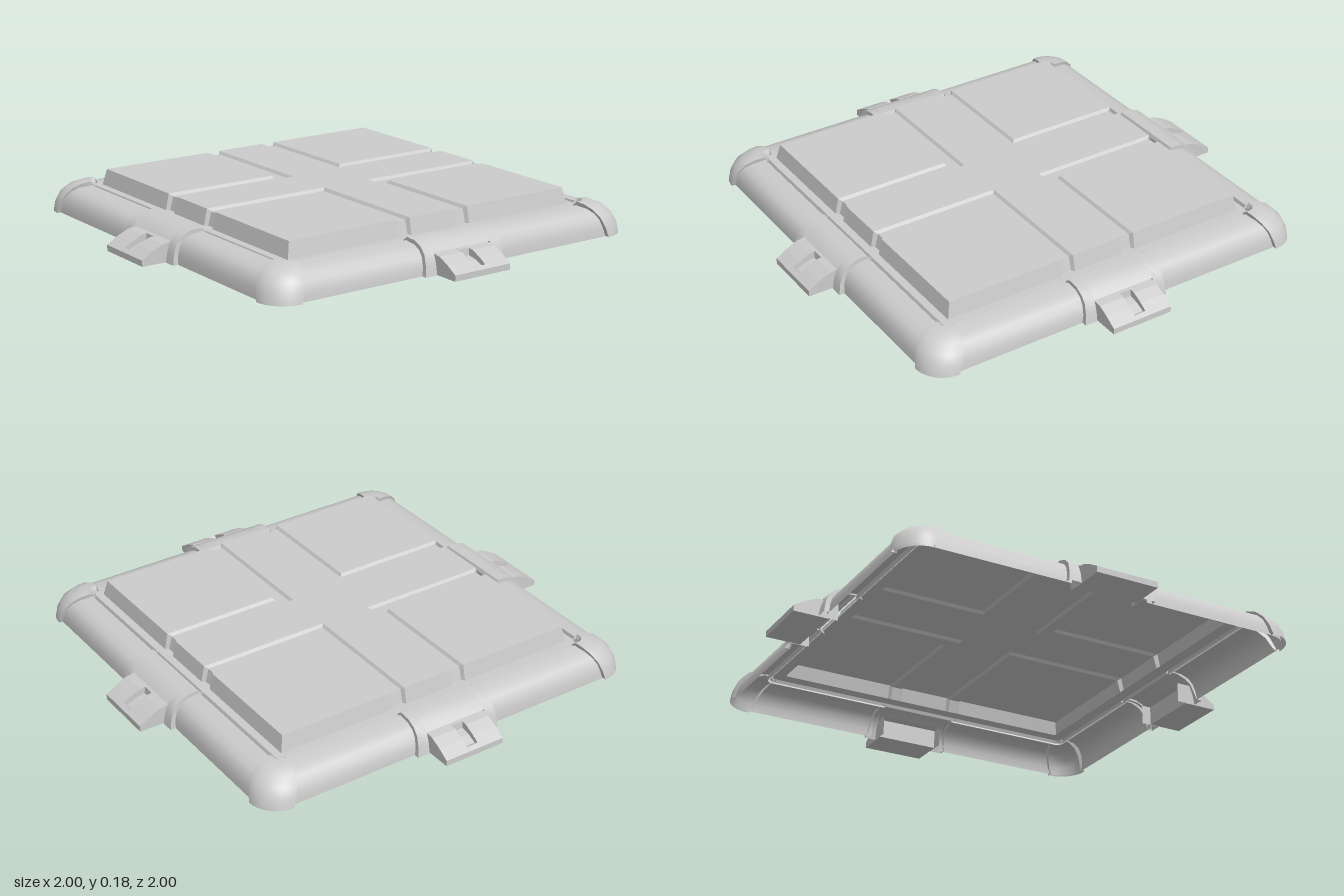
import * as THREE from 'three';
import { toCreasedNormals } from 'three/addons/utils/BufferGeometryUtils.js';

const material = new THREE.MeshStandardMaterial({ color: 0xcccccc, side: THREE.DoubleSide });

// Sheet through equally long rows of [x, y, z] points
function sheet(name, rows, crease = 0.6) {
  const n = rows[0].length, index = [];
  for (let i = 0; i < rows.length - 1; i++) {
    for (let j = 0; j < n - 1; j++) {
      const a = i * n + j;
      index.push(a, a + n, a + n + 1, a, a + n + 1, a + 1);
    }
  }
  const geo = new THREE.BufferGeometry();
  geo.setAttribute('position', new THREE.Float32BufferAttribute(rows.flat(2), 3));
  geo.setIndex(index);
  const mesh = new THREE.Mesh(toCreasedNormals(geo, crease), material);
  mesh.name = name;
  return mesh;
}

// One corner of a rounded square frame; profile points are
// [half width, height, corner radius, where the run along the side ends]
function cornerSweep(name, profile, walled = false) {
  const rows = profile.map(([w, y, r, e]) => {
    const row = [[w, y, e]];
    for (let k = 0; k <= 10; k++) {
      const t = (k / 10) * Math.PI / 2;
      row.push([w - r + r * Math.cos(t), y, w - r + r * Math.sin(t)]);
    }
    row.push([e, y, w]);
    if (walled) { // end walls dropping onto the rim
      const low = Math.max(0, y - 0.02);
      row.unshift([w - 0.025, low, e]);
      row.push([e, low, w - 0.025]);
    }
    return row;
  });
  return sheet(name, rows);
}

// Quarter of the raised panel: a cross and four tiles parted by shallow grooves
function panelQuarter() {
  const c = [0, 0.113, 0.122, 0.168, 0.177, 0.685, 0.7];
  const rows = c.map((_, i) => c.map((_, j) => {
    const groove = [2, 3].includes(Math.min(i, j));
    const skirt = Math.max(i, j) === 6;
    const limit = groove ? (skirt ? 0.685 : 0.67) : 0.7;
    const y = skirt ? 0.112 : groove ? 0.168 : 0.18;
    return [Math.min(c[j], limit), y, Math.min(c[i], limit)];
  }));
  return sheet('panelQuarter', rows, 0.1);
}

// Saddle over the middle of a side, with an opening for the clip
function saddle() {
  const group = new THREE.Group();
  group.name = 'saddle';
  const profile = [ // [z, y, half width]
    [0.895, 0, 0.195], [0.887, 0.045, 0.19], [0.872, 0.085, 0.186], [0.845, 0.11, 0.183],
    [0.805, 0.126, 0.181], [0.755, 0.128, 0.18], [0.748, 0.112, 0.18]];
  const open = 0.14;
  for (const s of [1, -1]) {
    const rows = profile.map(([z, y, w]) => {
      const row = [[s * w, Math.max(0, y - 0.02), z - 0.025], [s * w, y, z], [s * open, y, z]];
      return s > 0 ? row : row.reverse();
    });
    group.add(sheet('saddleLeg', rows));
  }
  group.add(sheet('saddleBridge', profile.slice(2).map(([z, y]) => [[open, y, z], [-open, y, z]])));
  const frame = [[open, 0, 0.895], [open, 0.085, 0.872], [-open, 0.085, 0.872], [-open, 0, 0.895]];
  group.add(sheet('openingFrame', [frame, frame.map(([x, y]) => [x, y, 0.81])]));
  return group;
}

// Slab of constant side outline [z, y] between two x positions
function slab(name, outline, x0, x1) {
  const shape = new THREE.Shape(outline.map(([z, y]) => new THREE.Vector2(z, y)));
  const geo = new THREE.ExtrudeGeometry(shape, { depth: x1 - x0, bevelEnabled: false });
  geo.rotateY(-Math.PI / 2).translate(x1, 0, 0);
  const mesh = new THREE.Mesh(geo, material);
  mesh.name = name;
  return mesh;
}

// Sloping clip with a slot along its middle
function clip() {
  const group = new THREE.Group();
  group.name = 'clip';
  const outer = [[0.85, 0], [1, 0], [1, 0.025], [0.95, 0.055], [0.905, 0.076], [0.85, 0.083]];
  const slot = [[0.85, 0], [1, 0], [1, 0.025], [0.982, 0.036], [0.965, 0.025],
    [0.925, 0.042], [0.885, 0.05], [0.882, 0.08], [0.85, 0.083]];
  group.add(slab('clipSide', outer, 0.026, 0.137));
  group.add(slab('clipSide', outer, -0.137, -0.026));
  group.add(slab('clipSlot', slot, -0.026, 0.026));
  return group;
}

export function createModel() {
  const model = new THREE.Group();
  model.name = 'panelTile';
  const rim = [
    [0.872, 0, 0.11, 0.17], [0.869, 0.035, 0.11, 0.17], [0.858, 0.07, 0.1, 0.17],
    [0.838, 0.094, 0.09, 0.17], [0.805, 0.109, 0.07, 0.17], [0.75, 0.114, 0.035, 0.17],
    [0.745, 0.095, 0.03, 0.17]];
  const cap = [
    [0.888, 0, 0.12, 0.765], [0.882, 0.04, 0.12, 0.752], [0.865, 0.08, 0.115, 0.738],
    [0.835, 0.11, 0.1, 0.722], [0.795, 0.127, 0.075, 0.71], [0.755, 0.13, 0.035, 0.706],
    [0.747, 0.113, 0.03, 0.706]];
  const deck = [[0.738, 0.098, 0.03, 0], [0.733, 0.112, 0.03, 0], [0.68, 0.112, 0.01, 0]];
  // The same quarter repeats around the centre
  for (let k = 0; k < 4; k++) {
    const quarter = new THREE.Group();
    quarter.name = 'quarter';
    quarter.rotation.y = k * Math.PI / 2;
    quarter.add(panelQuarter(), cornerSweep('deck', deck), cornerSweep('rim', rim),
      cornerSweep('cornerCap', cap, true), saddle(), clip());
    model.add(quarter);
  }
  return model;
}
